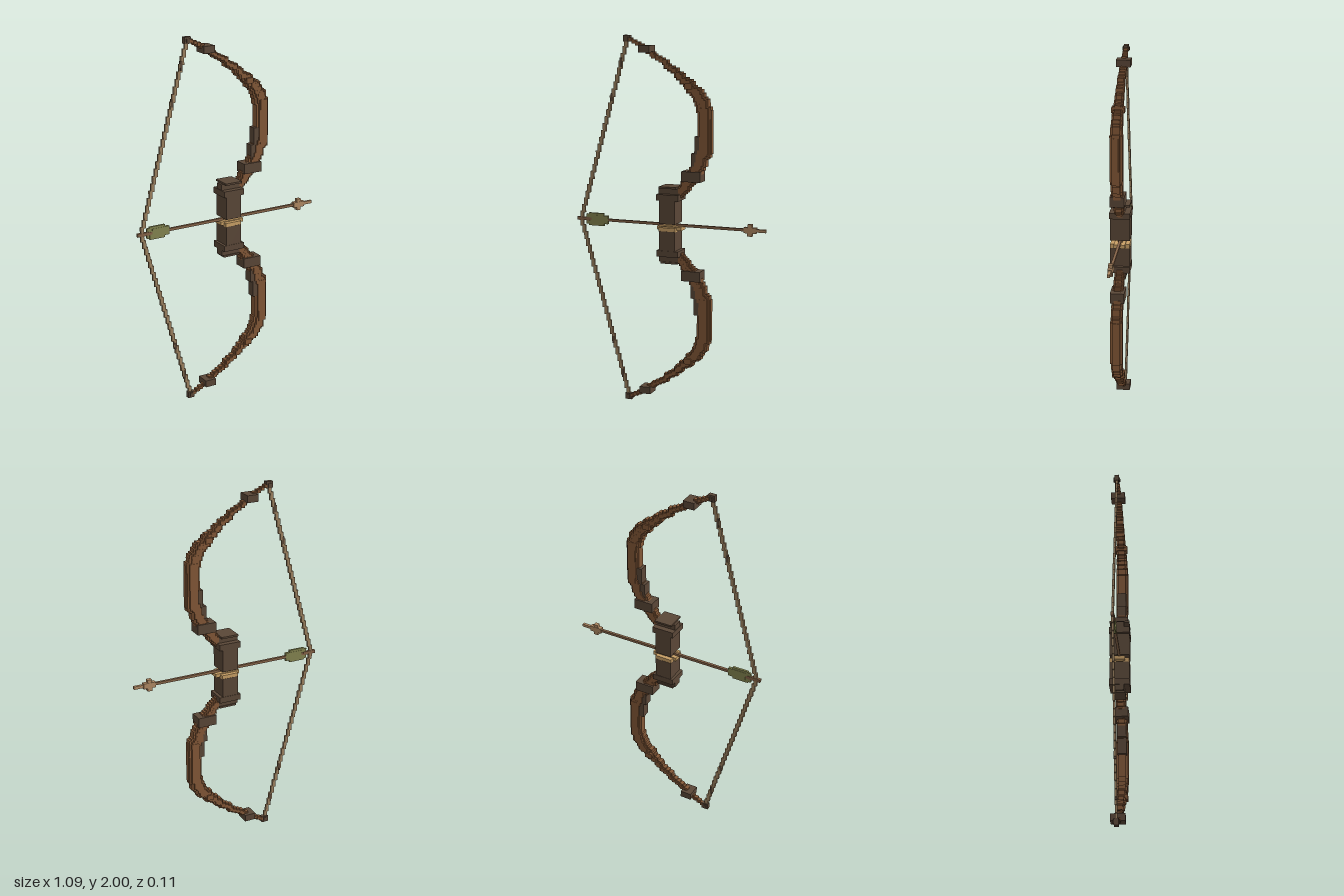
import * as THREE from 'three';

const mat = (name, color) => {
  const m = new THREE.MeshStandardMaterial({ color });
  m.name = name;
  return m;
};

export function createModel() {
  const wood = mat('limb wood', 0x835837);
  const dark = mat('dark leather', 0x5a4737);
  const cord = mat('bowstring cord', 0x9c815f);
  const shaftWood = mat('arrow shaft wood', 0x866448);
  const green = mat('fletching green', 0x848550);
  const tan = mat('arrowhead tan', 0xb08a64);
  const gold = mat('arrow rest gold', 0xc9a066);
  const model = new THREE.Group();
  model.name = 'bowAndArrow';

  // Box given by its x and y ranges and half depth in z
  const slab = (parent, name, m, x0, x1, y0, y1, hz, z = 0) => {
    const mesh = new THREE.Mesh(new THREE.BoxGeometry(x1 - x0, y1 - y0, hz * 2), m);
    mesh.position.set((x0 + x1) / 2, (y0 + y1) / 2, z);
    mesh.name = name;
    parent.add(mesh);
    return mesh;
  };
  const snap = (v, g = 0.0105) => Math.round(v / g) * g;

  // Limb: x, height above the arrow, half thickness in the front plane, half depth
  const limbPath = [
    [-0.225, 0.975, 0.012, 0.013], [-0.13, 0.925, 0.015, 0.018], [-0.05, 0.875, 0.016, 0.02],
    [0.03, 0.815, 0.02, 0.022], [0.11, 0.75, 0.025, 0.025], [0.165, 0.69, 0.03, 0.029],
    [0.2, 0.61, 0.035, 0.031], [0.205, 0.5, 0.035, 0.031], [0.202, 0.41, 0.035, 0.031],
    [0.165, 0.325, 0.031, 0.03], [0.12, 0.25, 0.027, 0.028], [0.085, 0.2, 0.025, 0.026],
    [0.045, 0.165, 0.022, 0.024],
  ];
  const sampleLimb = (s) => {
    const i = Math.min(Math.floor(s), limbPath.length - 2);
    return limbPath[i].map((v, k) => v + (limbPath[i + 1][k] - v) * (s - i));
  };

  for (const side of [1, -1]) {
    const half = new THREE.Group();
    half.name = side > 0 ? 'upperHalf' : 'lowerHalf';
    // Range in height above the arrow, mirrored for the lower half
    const part = (name, m, x0, x1, h0, h1, hz, z = 0) => side > 0
      ? slab(half, name, m, x0, x1, 1 + h0, 1 + h1, hz, z)
      : slab(half, name, m, x0, x1, 1 - h1, 1 - h0, hz, z);

    // Stepped limb: a full-depth core with a slimmer, wider layer around it
    const count = 52;
    for (let i = 0; i <= count; i++) {
      const [x, h, t, d] = sampleLimb((i / count) * (limbPath.length - 1));
      const a = snap(x), b = snap(h);
      part('limbCore', wood, a - t * 0.65, a + t * 0.65, b - t * 0.6, b + t * 0.6, d);
      part('limbEdge', wood, a - t, a + t, b - t * 0.8, b + t * 0.8, d * 0.65);
    }
    // Strips along the straight belly of the limb
    part('bellyStrip', wood, 0.182, 0.225, 0.39, 0.63, 0.033);
    part('outerStrip', wood, 0.215, 0.24, 0.39, 0.62, 0.014);
    part('limbBand', wood, 0.095, 0.135, 0.725, 0.755, 0.034);

    // Dark inner backing
    part('backing', dark, 0.165, 0.182, 0.45, 0.6, 0.02);
    part('backing', dark, 0.148, 0.184, 0.38, 0.48, 0.024);
    part('backing', dark, 0.13, 0.16, 0.29, 0.39, 0.024);

    // Wrappings and tip
    part('lowerBinding', dark, 0.08, 0.186, 0.24, 0.295, 0.038);
    part('tipBinding', dark, -0.163, -0.1, 0.91, 0.948, 0.038);
    part('tip', dark, -0.26, -0.222, 0.965, 1.0, 0.012);
    part('tipCollar', dark, -0.25, -0.232, 0.97, 0.99, 0.018);

    // Grip half with its flared cap
    part('grip', dark, -0.04, 0.05, side > 0 ? 0.01 : 0.03, 0.165, 0.053);
    part('gripCap', dark, -0.055, 0.068, 0.135, 0.168, 0.055);
    part('gripNeck', dark, -0.053, 0.066, 0.168, 0.2, 0.025);
    part('gripLip', dark, -0.042, 0.055, 0.2, 0.21, side > 0 ? 0.053 : 0.03);

    // Stepped bowstring from the nock to the tip
    const steps = 26;
    for (let i = 0; i < steps; i++) {
      const f = (i + 0.5) / steps;
      const x = -0.522 + 0.28 * f, h = 0.975 * f;
      part('bowstring', cord, x - 0.0095, x + 0.0095, h - 0.022, h + 0.022, 0.006);
    }
    // Servings on the string
    part('serving', dark, -0.283, -0.271, 0.83, 0.88, 0.0065);
    part('serving', dark, -0.338, -0.326, 0.65, 0.69, 0.0065);
    model.add(half);
  }

  // Arrow rest between the grip halves
  slab(model, 'arrowRest', gold, -0.06, 0.078, 0.975, 0.995, 0.03);
  for (const z of [0.035, -0.035])
    slab(model, 'restSide', gold, -0.042, 0.052, 0.968, 0.99, 0.017, z);
  slab(model, 'restCore', gold, -0.03, 0.04, 0.965, 1.02, 0.012);

  // Arrow
  const arrow = new THREE.Group();
  arrow.name = 'arrow';
  slab(arrow, 'shaft', shaftWood, -0.5, 0.44, 0.993, 1.007, 0.007);
  slab(arrow, 'nock', shaftWood, -0.545, -0.47, 0.991, 1.009, 0.0075);
  slab(arrow, 'fletching', green, -0.49, -0.385, 0.972, 1.028, 0.005);
  slab(arrow, 'fletching', green, -0.475, -0.385, 0.965, 1.035, 0.006);
  slab(arrow, 'fletching', green, -0.46, -0.36, 0.977, 1.023, 0.0075);
  slab(arrow, 'headBase', tan, 0.42, 0.487, 0.985, 1.015, 0.012);
  slab(arrow, 'headBarb', tan, 0.44, 0.465, 0.968, 1.032, 0.011);
  slab(arrow, 'headPoint', tan, 0.48, 0.54, 0.992, 1.008, 0.0075);
  model.add(arrow);

  return model;
}
